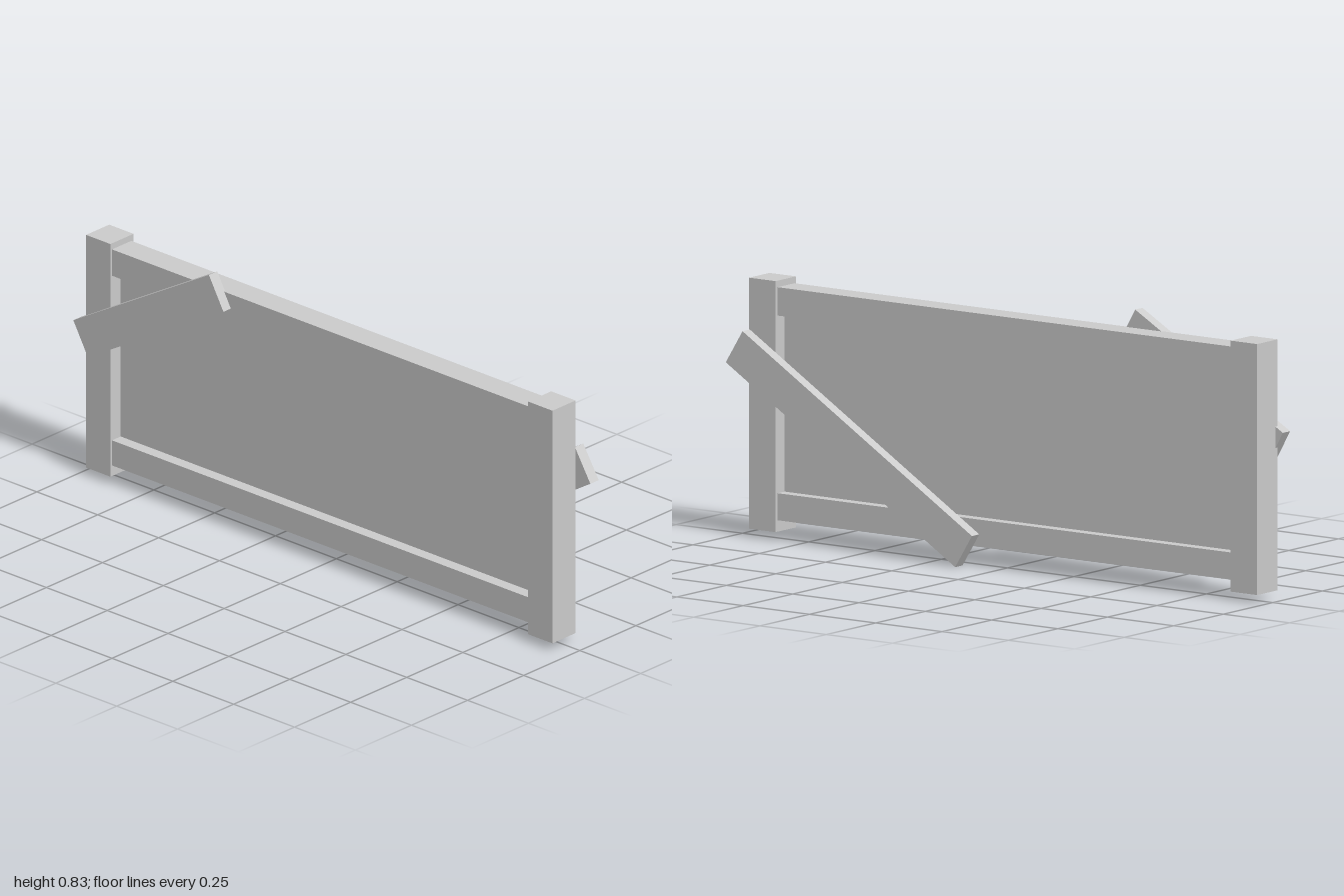
import * as THREE from 'three';

const material = new THREE.MeshStandardMaterial({ color: 0xcccccc, flatShading: true });

// Box given by its [min, max] range on each axis
function boxBetween(name, [x0, x1], [y0, y1], [z0, z1]) {
  const mesh = new THREE.Mesh(new THREE.BoxGeometry(x1 - x0, y1 - y0, z1 - z0), material);
  mesh.name = name;
  mesh.position.set((x0 + x1) / 2, (y0 + y1) / 2, (z0 + z1) / 2);
  return mesh;
}

// Plank lying along z and tilted so its +z end rises
function plank(name, xRange, y, z, length, degrees) {
  const mesh = boxBetween(name, xRange, [y - 0.06, y + 0.06], [z - length / 2, z + length / 2]);
  mesh.rotation.x = -THREE.MathUtils.degToRad(degrees);
  return mesh;
}

export function createModel() {
  const group = new THREE.Group();
  group.name = 'fencePanel';

  // Upright end posts
  const postX = [-0.06, 0.043], postY = [0.027, 0.797];
  group.add(boxBetween('frontPost', postX, postY, [0.843, 0.943]));
  group.add(boxBetween('backPost', postX, postY, [-0.973, -0.873]));

  // Horizontal rails and the thin recessed panel between them
  const railX = [-0.053, 0.033], span = [-0.875, 0.845];
  group.add(boxBetween('topRail', railX, [0.69, 0.777], span));
  group.add(boxBetween('bottomRail', railX, [0.062, 0.145], span));
  group.add(boxBetween('panel', [-0.014, -0.002], [0.14, 0.695], span));

  // Slanted planks nailed across each side
  group.add(plank('leftPlank', [0.047, 0.084], 0.32, 0.536, 1.018, 31.8));
  group.add(plank('rightPlank', [-0.086, -0.049], 0.622, -0.693, 0.642, 29.8));

  return group;
}
